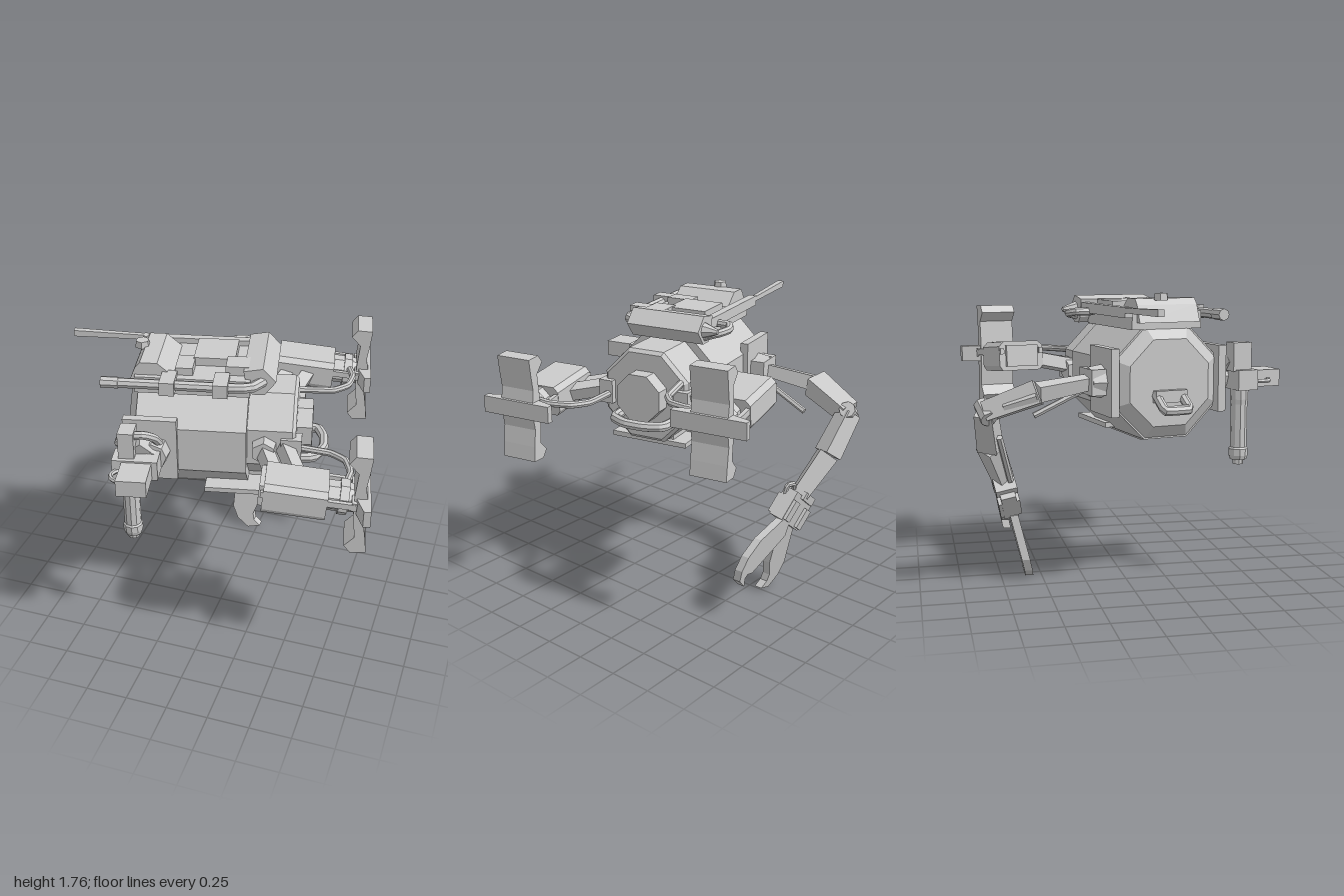
import * as THREE from 'three';

const mat = new THREE.MeshStandardMaterial({ color: 0xcccccc, flatShading: true, side: THREE.DoubleSide });
const V = (a) => new THREE.Vector3(...a);
const UP = new THREE.Vector3(0, 1, 0);

function add(parent, name, geo, pos = [0, 0, 0], rot = [0, 0, 0]) {
  const m = new THREE.Mesh(geo, mat);
  m.name = name;
  m.position.set(...pos);
  m.rotation.set(...rot);
  parent.add(m);
  return m;
}
function group(parent, name, pos = [0, 0, 0], rot = [0, 0, 0]) {
  const g = new THREE.Group();
  g.name = name;
  g.position.set(...pos);
  g.rotation.set(...rot);
  parent.add(g);
  return g;
}
const box = (p, name, size, pos, rot) => add(p, name, new THREE.BoxGeometry(...size), pos, rot);

// Octagonal prism along x, r0/r1 measured to the flats
function octX(p, name, x0, x1, r0, r1, y, z) {
  const k = 1 / Math.cos(Math.PI / 8);
  const g = new THREE.CylinderGeometry(r1 * k, r0 * k, x1 - x0, 8).rotateY(Math.PI / 8).rotateZ(-Math.PI / 2);
  return add(p, name, g, [(x0 + x1) / 2, y, z]);
}
// Bar between two points; sides 4 gives a (tapering) square section
function bar(p, name, a, b, r0, r1 = r0, sides = 4) {
  const A = V(a), B = V(b), d = B.clone().sub(A);
  const g = new THREE.CylinderGeometry(r1, r0, d.length(), sides).rotateY(Math.PI / sides);
  const m = add(p, name, g, A.clone().add(B).multiplyScalar(0.5).toArray());
  m.quaternion.setFromUnitVectors(UP, d.normalize());
  return m;
}
function pipe(p, name, pts, r) {
  const c = new THREE.CatmullRomCurve3(pts.map(V), false, 'catmullrom', 0.15);
  return add(p, name, new THREE.TubeGeometry(c, pts.length * 4, r, 8));
}
// Outline in xy, extruded along z and centred
function slab(pts, depth) {
  const s = new THREE.Shape(pts.map(([x, y]) => new THREE.Vector2(x, y)));
  return new THREE.ExtrudeGeometry(s, { depth, bevelEnabled: false }).translate(0, 0, -depth / 2);
}

const Y = 1.255, W = 0.075; // hull axis

function buildHull(g) {
  octX(g, 'endCap', -0.57, -0.52, 0.25, 0.32, Y, W);
  octX(g, 'mainHull', -0.52, 0.12, 0.33, 0.33, Y, W);
  octX(g, 'rearDrum', 0.12, 0.38, 0.275, 0.275, Y + 0.01, W);
  octX(g, 'rearTaper', 0.38, 0.4, 0.275, 0.255, Y + 0.01, W);
  octX(g, 'rearCap', 0.4, 0.49, 0.14, 0.14, Y + 0.02, W);
  for (const s of [-1, 1]) {
    const u = s > 0 ? -0.43 : -0.4;
    box(g, 'sidePanel', [0.31, 0.39, 0.05], [u, Y + 0.01, W + s * 0.335]);
    const hub = new THREE.CylinderGeometry(0.085, 0.1, 0.1, 8).rotateX(s * Math.PI / 2);
    add(g, 'sideHub', hub, [-0.41, Y + 0.01, W + s * 0.39]);
    box(g, 'sideLug', [0.12, 0.14, 0.09], [0.375, Y + 0.01, W + s * 0.25]);
  }
  pipe(g, 'rearPipe', [[0.38, 1.14, -0.12], [0.52, 1.14, -0.1], [0.56, 1.14, 0.0], [0.56, 1.14, 0.12],
    [0.5, 1.14, 0.23], [0.38, 1.14, 0.24]], 0.03);
  // Square loop handle on the end cap
  pipe(g, 'handleLoop', [[-0.56, 1.19, -0.01], [-0.67, 1.12, -0.01], [-0.68, 1.11, 0], [-0.68, 1.11, 0.14],
    [-0.67, 1.12, 0.15], [-0.56, 1.19, 0.15]], 0.028);
  box(g, 'handleMount', [0.06, 0.07, 0.2], [-0.58, 1.18, 0.07]);
  // Belly hatch with vents
  box(g, 'bellyPlate', [0.44, 0.03, 0.5], [0.09, 0.955, 0.11]);
  box(g, 'bellySupport', [0.16, 0.06, 0.24], [0.2, 0.985, W]);
  box(g, 'bellyHatch', [0.48, 0.03, 0.26], [-0.22, 0.928, W]);
  for (let i = 0; i < 4; i++) box(g, 'bellyVent', [0.18, 0.02, 0.025], [0.17, 0.938, 0.02 + i * 0.06]);
}

function buildDeck(g) {
  box(g, 'deck', [0.66, 0.1, 0.44], [-0.2, 1.61, W]);
  const ridge = slab([[-0.57, 1.6], [-0.53, 1.7], [-0.5, 1.735], [-0.4, 1.735], [-0.3, 1.65], [-0.3, 1.6]], 0.38);
  add(g, 'deckRidge', ridge, [0, 0, W]);
  box(g, 'deckHatch', [0.24, 0.06, 0.25], [-0.09, 1.68, 0.0]);
  box(g, 'deckPanel', [0.15, 0.07, 0.13], [0.06, 1.68, 0.16]);
  box(g, 'deckBlock', [0.1, 0.07, 0.16], [-0.25, 1.67, 0.17]);
  add(g, 'deckKnob', new THREE.CylinderGeometry(0.04, 0.045, 0.04, 6), [-0.52, 1.745, 0.04]);
  // Six-sided cross housing with a pointed rear nose
  const hex = slab([[0.11, 1.6], [0.09, 1.71], [0.2, 1.73], [0.275, 1.65], [0.21, 1.565], [0.14, 1.565]], 0.47);
  add(g, 'crossHousing', hex, [0, 0, 0.03]);
  const nose = new THREE.CylinderGeometry(0.015, 0.05, 0.09, 8).rotateX(-Math.PI / 2);
  add(g, 'housingNose', nose, [0.19, 1.645, -0.245]);
  // Long barrel with clamps on the front, thin barrel on the back
  pipe(g, 'longBarrel', [[-0.7, 1.645, 0.345], [-0.3, 1.645, 0.345], [0.06, 1.645, 0.345], [0.14, 1.645, 0.33], [0.2, 1.645, 0.25]], 0.03);
  add(g, 'barrelMuzzle', new THREE.CylinderGeometry(0.034, 0.034, 0.1, 8).rotateZ(Math.PI / 2), [-0.66, 1.645, 0.345]);
  for (const u of [-0.33, -0.03]) box(g, 'barrelClamp', [0.085, 0.08, 0.16], [u, 1.645, 0.32]);
  box(g, 'thinBarrelHousing', [0.66, 0.06, 0.05], [-0.22, 1.66, -0.175]);
  bar(g, 'thinBarrel', [-0.53, 1.672, -0.187], [-0.98, 1.68, -0.187], 0.02, 0.027);
  pipe(g, 'backPipe', [[-0.01, 1.64, -0.16], [0.0, 1.64, -0.27], [0.06, 1.63, -0.3], [0.12, 1.62, -0.27], [0.2, 1.6, -0.18]], 0.024);
}

// Strut-mounted thruster; s = 1 front side, -1 back side
function buildThruster(parent, s) {
  const g = group(parent, 'thruster', [0, 1.275 - s * 0.06, W + s * 0.62]);
  const pod = group(g, 'thrusterPod', [0.42, 0.01, 0], [0, 0, -0.1]);
  const body = slab([[-0.12, -0.09], [0.12, -0.09], [0.14, -0.06], [0.14, 0.06], [0.11, 0.09], [-0.11, 0.09], [-0.14, 0.06], [-0.14, -0.06]], 0.35);
  add(pod, 'podBody', body.rotateY(Math.PI / 2));
  box(pod, 'podFrontPlate', [0.03, 0.13, 0.2], [-0.185, 0, 0]);
  for (const w of [-0.125, 0.125]) box(pod, 'podRail', [0.52, 0.035, 0.025], [0.07, 0.03, w]);
  box(pod, 'podEndBracket', [0.03, 0.05, 0.27], [0.32, 0.03, 0]);
  octX(pod, 'nozzleNeck', 0.17, 0.24, 0.08, 0.08, 0, 0);
  octX(pod, 'nozzleRing', 0.24, 0.29, 0.095, 0.095, 0, 0);
  octX(pod, 'nozzleTip', 0.29, 0.36, 0.08, 0.065, 0, 0);
  // Curved vertical vane and wedge-shaped crossbar
  const half = [[0.035, 0.0], [0.015, 0.12], [0.03, 0.22], [0.04, 0.31], [-0.05, 0.315], [-0.085, 0.27], [-0.03, 0.21], [-0.045, 0.06]];
  const vane = half.concat(half.slice(1).reverse().map(([x, y]) => [x, -y]));
  add(g, 'vane', slab(vane, 0.22), [0.785, 0, 0]);
  const cross = slab([[0.83, -0.225], [0.83, 0.225], [0.79, 0.225], [0.75, 0.1], [0.75, -0.1], [0.79, -0.225]], 0.1);
  add(g, 'crossbar', cross.rotateX(Math.PI / 2));
  // Struts, root hub and supply cable
  const root = s * 0.06, w = (d) => s * (d - 0.62);
  for (const u of [0.2, 0.33]) {
    bar(g, 'strut', [u, root, w(0.24)], [u + 0.11, 0, w(0.53)], 0.055);
  }
  const hub = new THREE.CylinderGeometry(0.07, 0.085, 0.12, 6).rotateX(s * Math.PI / 2);
  add(g, 'strutHub', hub, [0.22, root - 0.01, w(0.28)]);
  pipe(g, 'cable', [[0.7, 0.03, w(0.54)], [0.72, 0.03, w(0.45)], [0.69, 0.03, w(0.33)], [0.6, 0.03, w(0.26)], [0.39, 0.04, w(0.23)]], 0.021);
}

function buildGunArm(parent) {
  const g = group(parent, 'gunArm');
  const hub = new THREE.CylinderGeometry(0.05, 0.06, 0.1, 8).rotateX(Math.PI / 2);
  add(g, 'armJoint', hub, [-0.41, 1.27, 0.5]);
  bar(g, 'upperLink', [-0.41, 1.27, 0.49], [-0.5, 1.37, 0.53], 0.06);
  box(g, 'armBlock', [0.09, 0.17, 0.12], [-0.535, 1.385, 0.55]);
  pipe(g, 'armHose', [[-0.53, 1.43, 0.56], [-0.44, 1.44, 0.56], [-0.39, 1.4, 0.52], [-0.37, 1.32, 0.45]], 0.025);
  box(g, 'gunBody', [0.26, 0.12, 0.13], [-0.487, 1.25, 0.57]);
  box(g, 'gunStock', [0.17, 0.1, 0.2], [-0.475, 1.25, 0.72]);
  const guard = new THREE.TorusGeometry(0.055, 0.014, 6, 10, Math.PI).rotateZ(Math.PI / 2).rotateX(Math.PI / 2);
  add(g, 'gunGuard', guard, [-0.56, 1.24, 0.68]);
  const profile = [[0, 0.735], [0.033, 0.735], [0.033, 0.765], [0.05, 0.765], [0.058, 0.79], [0.058, 0.83],
    [0.05, 0.84], [0.05, 1.1], [0.054, 1.13], [0.054, 1.2], [0, 1.2]];
  add(g, 'gunBarrel', new THREE.LatheGeometry(profile.map((p) => new THREE.Vector2(...p)), 10), [-0.53, 0, 0.56]);
}

function buildClawArm(parent) {
  const g = group(parent, 'clawArm');
  const S = [-0.45, 1.27, -0.2], M = [-0.54, 1.22, -0.57], E = [-0.48, 1.11, -0.86];
  const K = [-0.32, 0.88, -0.825], H = [-0.16, 0.65, -0.74];
  box(g, 'shoulder', [0.19, 0.15, 0.09], [-0.45, 1.265, -0.24], [0, 0.21, 0]);
  bar(g, 'upperArm', S, M, 0.05, 0.065);
  bar(g, 'upperArmMid', M, E, 0.095, 0.08);
  bar(g, 'armRod', [-0.41, 1.22, -0.27], [-0.42, 1.07, -0.58], 0.018, 0.018, 6);
  bar(g, 'armSleeve', [-0.59, 1.2, -0.58], [-0.54, 1.14, -0.76], 0.035, 0.035, 6);
  add(g, 'elbow', new THREE.CylinderGeometry(0.05, 0.05, 0.13, 8).rotateZ(Math.PI / 2), E, [0, 0.3, 0.6]);
  bar(g, 'forearm', E, K, 0.075, 0.085);
  bar(g, 'forearmEnd', K, H, 0.085, 0.07);
  bar(g, 'forearmRod', [-0.42, 0.95, -0.78], [-0.22, 0.65, -0.7], 0.02, 0.02, 6);
  // Hand and its side hose
  const hand = group(g, 'hand', [-0.105, 0.565, -0.72], [-0.2, 0, 0.66]);
  box(hand, 'palm', [0.28, 0.19, 0.09]);
  box(hand, 'wristPlate', [0.16, 0.05, 0.13], [-0.02, 0.1, 0]);
  for (const x of [-0.1, 0.1]) box(hand, 'knuckle', [0.07, 0.13, 0.13], [x, -0.02, 0]);
  pipe(hand, 'handHose', [[0.12, 0.04, 0.03], [0.15, 0.1, 0.03], [0.11, 0.13, 0.02], [0.05, 0.1, 0.02]], 0.016);
  // Hooked fingers, sheared so they lean forward toward the tips
  const lower = [[-0.17, 0.42], [-0.18, 0.14], [-0.14, 0.06], [-0.06, 0.005], [0.025, 0.03], [-0.02, 0.065], [-0.03, 0.11],
    [0.01, 0.22], [0.01, 0.5], [-0.09, 0.5]];
  const outer = [[0.05, 0.56], [0.25, 0.5], [0.35, 0.42], [0.39, 0.34], [0.39, 0.27], [0.33, 0.21], [0.34, 0.27], [0.32, 0.29],
    [0.27, 0.28], [0.1, 0.36], [-0.02, 0.42], [-0.04, 0.52]];
  for (const [name, pts, z0, k] of [['lowerFinger', lower, -0.575, 0.24], ['outerFinger', outer, -0.63, 0.2]]) {
    const geo = slab(pts, 0.05), p = geo.attributes.position;
    for (let i = 0; i < p.count; i++) p.setZ(i, p.getZ(i) + z0 - k * p.getY(i));
    geo.computeVertexNormals();
    add(g, name, geo);
  }
}

export function createModel() {
  const model = new THREE.Group();
  model.name = 'utilityPod';
  const craft = group(model, 'craft', [0, 0, 0], [0, 0.21, 0]); // hull axis is turned about y
  buildHull(craft);
  buildDeck(craft);
  buildThruster(craft, 1);
  buildThruster(craft, -1);
  buildGunArm(craft);
  buildClawArm(model);
  return model;
}
